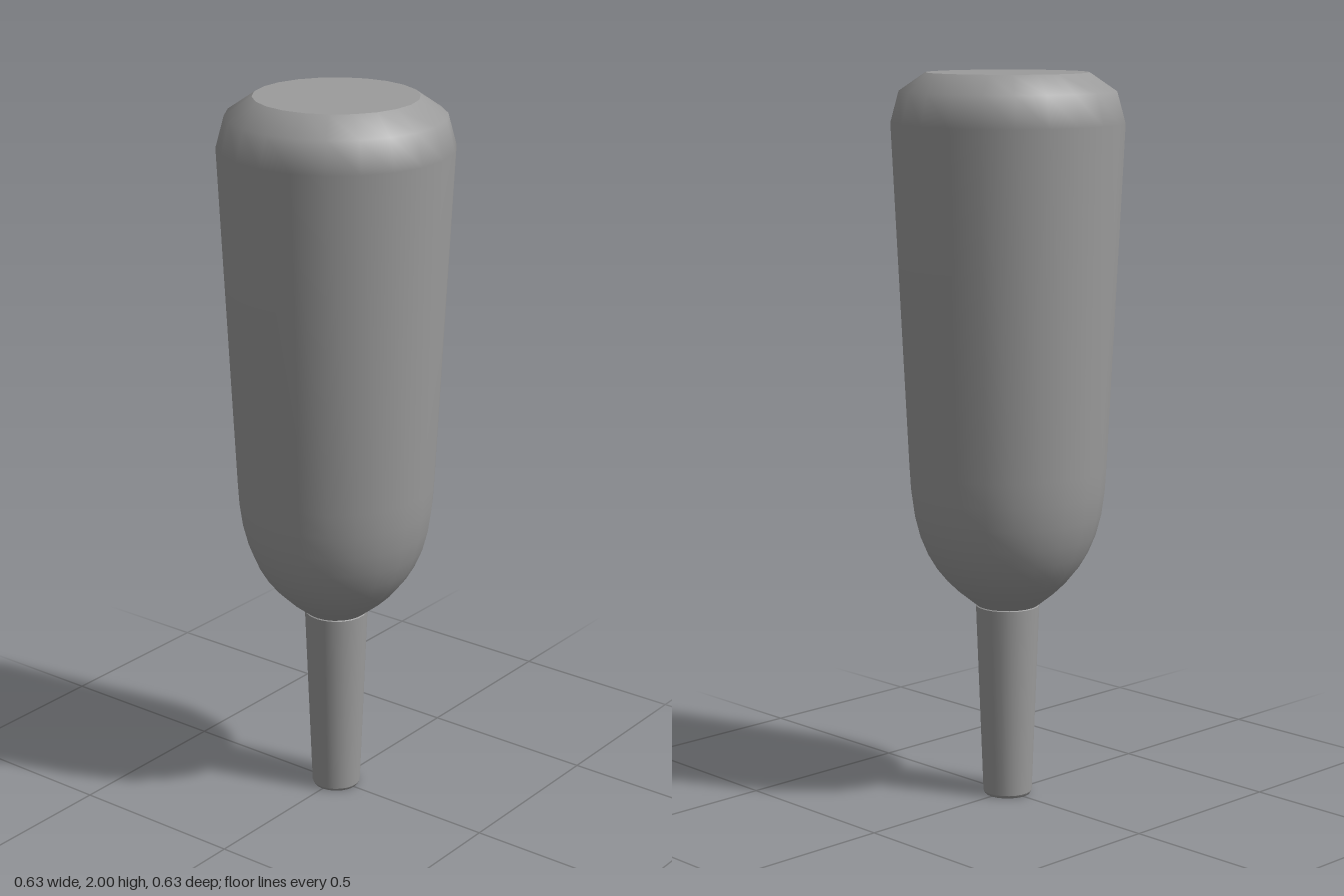
import * as THREE from 'three';

const SIDES = 22;

export function createModel() {
  const group = new THREE.Group();
  const material = new THREE.MeshStandardMaterial({ color: 0x9b9b9b });

  // Each profile is a list of [radius, height]; separate lathes keep hard edges.
  const turn = (name, profile) => {
    const points = profile.map(([r, y]) => new THREE.Vector2(r, y));
    const geometry = new THREE.LatheGeometry(points, SIDES, Math.PI / 2);
    const mesh = new THREE.Mesh(geometry, material);
    mesh.name = name;
    group.add(mesh);
  };

  // Rounded shoulder, tapering body and bevelled end
  turn('body', [
    [0.085, 0.542], [0.135, 0.582], [0.168, 0.614], [0.197, 0.65], [0.222, 0.692],
    [0.243, 0.742], [0.258, 0.8], [0.267, 0.865], [0.271, 0.93],
    [0.316, 1.865], [0.293, 1.95], [0.22, 2],
  ]);
  turn('base', [[0.22, 2], [0, 2]]);

  // Slim neck with a small ledge under the shoulder
  turn('neck', [[0.068, 0.008], [0.088, 0.54]]);
  turn('neckLedge', [[0.088, 0.54], [0.08, 0.545]]);

  // Thin lip sloping in to the hollow mouth
  turn('lip', [[0.058, 0], [0.064, 0], [0.068, 0.008]]);
  turn('lipInside', [[0.046, 0.016], [0.058, 0]]);
  turn('mouthWall', [[0.046, 0.1], [0.046, 0.016]]);
  turn('mouthFloor', [[0, 0.1], [0.046, 0.1]]);

  return group;
}
